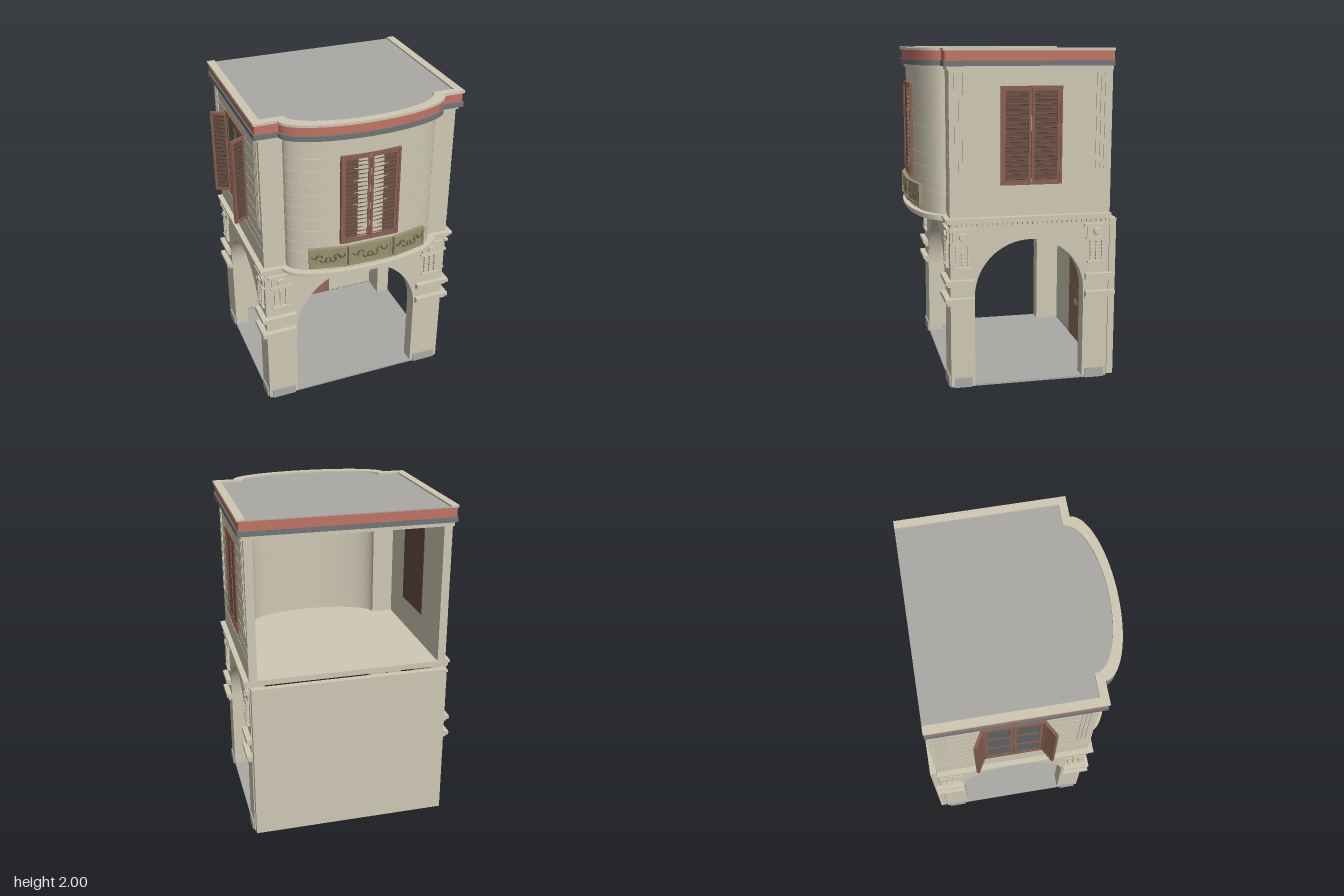
import * as THREE from 'three';
import { toCreasedNormals } from 'three/addons/utils/BufferGeometryUtils.js';

const mat = (name, color) => {
  const m = new THREE.MeshStandardMaterial({ color });
  m.name = name;
  return m;
};
const M = {
  cream: mat('cream plaster', 0xcfc8b4),
  grey: mat('grey stone', 0xaaa9a6),
  slate: mat('slate band', 0x6f7679),
  red: mat('red band', 0xc27363),
  door: mat('door brown', 0x8e6a5a),
  frame: mat('shutter frame', 0x8a5f50),
  slat: mat('shutter slats', 0x664c42),
  olive: mat('panel olive', 0x9a9170),
  oliveDark: mat('ornament olive', 0x6c664a),
  glass: mat('window glass', 0x5c6265),
};

// Main footprint: side walls, front wall, back edge
const X0 = -0.58, X1 = 0.635, CX = 0.0275, ZF = 0.4, ZB = -0.565;

function add(parent, name, geo, material, x = 0, y = 0, z = 0) {
  const m = new THREE.Mesh(geo, material);
  m.name = name;
  m.position.set(x, y, z);
  parent.add(m);
  return m;
}
const box = (p, name, material, w, h, d, x, y, z) =>
  add(p, name, new THREE.BoxGeometry(w, h, d), material, x, y, z);
function group(parent, name, x = 0, y = 0, z = 0, ry = 0) {
  const g = new THREE.Group();
  g.name = name;
  g.position.set(x, y, z);
  g.rotation.y = ry;
  parent.add(g);
  return g;
}

// Outline of the bow-fronted plan, grown by off, open at the back
function plan(off) {
  const zf = ZF + off, pts = [[X0 - off, ZB], [X0 - off, zf]];
  for (let i = 0; i <= 40; i++) {
    const t = Math.PI * (1 - i / 40);
    pts.push([CX + (0.47 + off) * Math.cos(t), zf + 0.17 * Math.sin(t)]);
  }
  pts.push([X1 + off, zf], [X1 + off, ZB]);
  return pts.map(([x, z]) => new THREE.Vector2(x, -z));
}
function raise(parent, name, pts, material, y, h) {
  const geo = new THREE.ExtrudeGeometry(new THREE.Shape(pts), { depth: h, bevelEnabled: false });
  geo.rotateX(-Math.PI / 2);
  return add(parent, name, toCreasedNormals(geo, 0.45), material, 0, y, 0);
}
const slab = (p, name, material, off, y, h) => raise(p, name, plan(off), material, y, h);
const ring = (p, name, material, off, inner, y, h) =>
  raise(p, name, [...plan(off), ...plan(inner).reverse()], material, y, h);

// Wall pierced by a round arch that reaches the ground
function archWall(u0, u1, a0, a1, top, depth) {
  const r = (a1 - a0) / 2, s = new THREE.Shape();
  s.moveTo(u0, 0).lineTo(a0, 0).lineTo(a0, top - r);
  s.absarc((a0 + a1) / 2, top - r, r, Math.PI, 0, true);
  s.lineTo(a1, 0).lineTo(u1, 0).lineTo(u1, 1).lineTo(u0, 1);
  s.closePath();
  const geo = new THREE.ExtrudeGeometry(s, { depth, bevelEnabled: false, curveSegments: 32 });
  return toCreasedNormals(geo, 0.45);
}

// Plinth, ledges and capital on one face of a pillar; o is the outer corner's direction
function pillarFace(parent, x, z, ry, w, o) {
  const g = group(parent, 'pillarFace', x, 0, z, ry);
  box(g, 'plinth', M.grey, w - 0.04, 0.06, 0.012, 0, 0.03, 0.004);
  for (const [y, h, p] of [[0.522, 0.018, 0.022], [0.543, 0.024, 0.034], [0.633, 0.016, 0.02], [0.653, 0.024, 0.032]])
    box(g, 'ledge', M.cream, w + p - 0.006, h, p, o * (p / 2 + 0.003), y, p / 2);
  const c = 0.115;
  box(g, 'capitalTop', M.cream, c + 0.045, 0.016, 0.02, 0, 0.962, 0.01);
  box(g, 'capitalBlock', M.cream, c, 0.065, 0.01, 0, 0.922, 0.005);
  box(g, 'capitalBase', M.cream, c + 0.025, 0.012, 0.018, 0, 0.884, 0.009);
  box(g, 'beadSill', M.cream, c, 0.01, 0.018, 0, 0.735, 0.009);
  const disc = add(g, 'medallion', new THREE.CylinderGeometry(0.02, 0.024, 0.014, 20), M.cream, 0, 0.922, 0.016);
  disc.rotation.x = Math.PI / 2;
  for (const bx of [-0.036, 0, 0.036])
    for (let i = 0; i < 6; i++) box(g, 'bead', M.cream, 0.014, 0.016, 0.016, bx, 0.755 + i * 0.0205, 0.008);
}

// Louvred leaf, finished on both faces
function leaf(parent, w, h, x) {
  const g = group(parent, 'shutterLeaf', x), b = 0.016, d = 0.018;
  box(g, 'backing', M.slat, w - b, h - b, 0.005, 0, 0, 0);
  for (const s of [-1, 1]) {
    box(g, 'stile', M.frame, b, h, d, s * (w - b) / 2, 0, 0);
    box(g, 'rail', M.frame, w - 2 * b, b, d, 0, s * (h - b) / 2, 0);
  }
  const n = 19, step = (h - 2 * b) / n;
  for (let i = 0; i < n; i++) {
    const y = (i + 0.5) * step - h / 2 + b;
    box(g, 'slat', M.slat, w - 2 * b, 0.02, 0.004, 0, y, 0).rotation.x = -0.5;
  }
}
function surround(g, w, h, d) {
  for (const s of [-1, 1]) {
    box(g, 'jamb', M.frame, 0.012, h, d, s * (w - 0.012) / 2, 0, 0);
    box(g, 'head', M.frame, w, 0.012, d, 0, s * (h - 0.012) / 2, 0);
  }
}
function closedWindow(parent, x, z, ry) {
  const g = group(parent, 'closedWindow', x, 1.502, z, ry);
  surround(g, 0.365, 0.57, 0.024);
  for (const s of [-1, 1]) leaf(g, 0.168, 0.545, s * 0.0855);
}
function openWindow(parent, x, z, ry) {
  const g = group(parent, 'openWindow', x, 1.502, z, ry);
  surround(g, 0.37, 0.575, 0.024);
  box(g, 'pane', M.glass, 0.35, 0.55, 0.008, 0, 0, 0);
  for (const s of [-1, 1]) {
    for (const e of [0.012, 0.16]) box(g, 'sashStile', M.frame, 0.018, 0.55, 0.02, s * e, 0, 0);
    for (const y of [-0.26, -0.09, 0.09, 0.26]) box(g, 'sashRail', M.frame, 0.15, 0.018, 0.018, s * 0.087, y, 0);
    const hinge = group(g, 'hinge', s * 0.178, 0, 0.005, s > 0 ? -Math.PI / 3 : -2 * Math.PI / 3);
    leaf(hinge, 0.105, 0.545, 0.05);
  }
}

// Balcony panel with ring and scroll ornament
function balconyPanel(parent, w, x, z, ry) {
  const g = group(parent, 'balconyPanel', x, 1.135, z, ry), h = 0.13;
  box(g, 'panelPlate', M.olive, w, h, 0.012, 0, 0, 0);
  for (const s of [-1, 1]) {
    box(g, 'panelRail', M.olive, w, 0.012, 0.024, 0, s * (h - 0.012) / 2, 0);
    box(g, 'panelStile', M.olive, 0.012, h, 0.024, s * (w - 0.012) / 2, 0, 0);
  }
  add(g, 'ring', new THREE.TorusGeometry(0.016, 0.004, 6, 20), M.oliveDark, 0, -0.012, 0.006);
  const scroll = new THREE.TorusGeometry(0.018, 0.005, 6, 14, Math.PI * 1.2);
  for (const s of [-1, 1]) for (let i = 0; i < 3; i++) {
    const m = add(g, 'scroll', scroll, M.oliveDark, s * (0.03 + i * w * 0.11), -0.008 + i * 0.012, 0.006);
    m.rotation.z = i % 2 ? 0 : Math.PI;
  }
}

export function createModel() {
  const root = new THREE.Group();
  root.name = 'cornerHouse';

  // Ground floor shell
  box(root, 'floor', M.grey, X1 - X0, 0.012, ZF - ZB, CX, 0.006, (ZF + ZB) / 2);
  add(root, 'frontArch', archWall(X0, X1, -0.385, 0.435, 0.905, 0.09), M.cream, 0, 0, ZF - 0.09);
  for (const x of [X0 + 0.09, X1])
    add(root, 'sideArch', archWall(ZB, ZF, -0.41, 0.255, 0.89, 0.09), M.cream, x).rotation.y = -Math.PI / 2;
  box(root, 'backWall', M.cream, 1.205, 0.985, 0.04, CX, 0.5025, -0.59);

  // Double door on the inside of the back wall
  for (const s of [-1, 1]) {
    box(root, 'doorLeaf', M.door, 0.179, 0.588, 0.012, 0.025 + s * 0.09, 0.306, -0.566);
    box(root, 'doorHandle', M.slate, 0.01, 0.03, 0.02, 0.025 + s * 0.02, 0.285, -0.555);
  }

  // Pillar trim
  pillarFace(root, -0.4825, ZF, 0, 0.195, -1);
  pillarFace(root, 0.535, ZF, 0, 0.195, 1);
  for (const s of [-1, 1]) {
    const x = s > 0 ? X1 : X0;
    pillarFace(root, x, 0.3275, s * Math.PI / 2, 0.145, -s);
    pillarFace(root, x, -0.4875, s * Math.PI / 2, 0.155, s);
    for (let i = 0; i < 32; i++)
      box(root, 'dentil', M.cream, 0.02, 0.016, 0.016, x + s * 0.01, 0.993, 0.385 - i * 0.03);
  }

  // Upper floor slab and string course
  slab(root, 'upperFloor', M.cream, 0.02, 1.0, 0.018);
  slab(root, 'stringCourse', M.cream, 0.032, 1.018, 0.016);

  // Upper walls with thin horizontal courses
  ring(root, 'upperWall', M.cream, 0, -0.05, 1.034, 0.85);
  for (const y of [1.16, 1.225, 1.305, 1.383, 1.461, 1.539, 1.617, 1.695, 1.773])
    ring(root, 'wallCourse', M.cream, 0.002, -0.01, y, 0.004);
  for (const x of [X0, X1])
    for (const z of [0.363, 0.339, 0.315, -0.475, -0.5, -0.525])
      box(root, 'flute', M.cream, 0.012, 0.56, 0.014, x, 1.58, z);

  // Windows and their inner faces
  closedWindow(root, 0.025, 0.565, 0);
  closedWindow(root, X1, -0.08, Math.PI / 2);
  openWindow(root, X0, -0.08, -Math.PI / 2);
  for (const x of [X0 + 0.05, X1 - 0.05])
    box(root, 'windowInside', M.slat, 0.008, 0.56, 0.355, x, 1.502, -0.08);

  // Balcony panels following the bow
  balconyPanel(root, 0.28, 0.025, 0.587, 0);
  for (const s of [-1, 1]) balconyPanel(root, 0.228, CX + s * 0.26, 0.563, s * 0.22);

  // Cornice and roof
  slab(root, 'ceiling', M.cream, 0.012, 1.88, 0.02);
  slab(root, 'slateBand', M.slate, 0.032, 1.9, 0.03);
  slab(root, 'redBand', M.red, 0.024, 1.93, 0.055);
  slab(root, 'roof', M.grey, 0.01, 1.985, 0.005);
  ring(root, 'roofRim', M.cream, 0.034, -0.015, 1.985, 0.015);
  return root;
}
